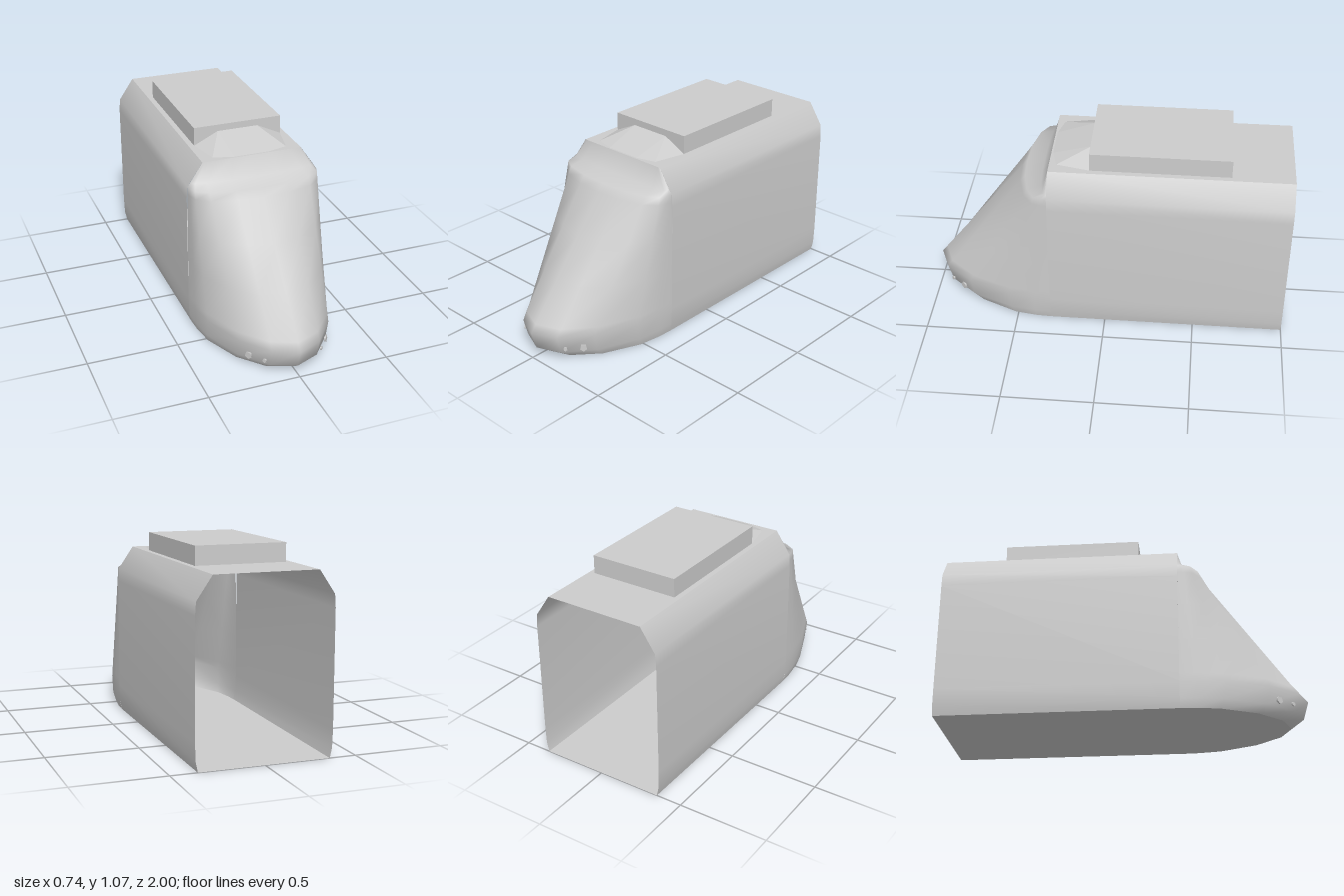
import * as THREE from 'three';
import { toCreasedNormals } from 'three/addons/utils/BufferGeometryUtils.js';
import { ConvexGeometry } from 'three/addons/geometries/ConvexGeometry.js';

const grey = new THREE.MeshStandardMaterial({ color: 0xcccccc, side: THREE.DoubleSide });
grey.name = 'light grey';

const BACK = -1, JOINT = 0.31;

// Skin a grid of points given as rows of [x, y, z]
function skin(rows) {
  const n = rows[0].length, index = [];
  for (let i = 0; i < rows.length - 1; i++) {
    for (let j = 0; j < n - 1; j++) {
      const a = i * n + j, b = a + 1, d = a + n, c = d + 1;
      index.push(a, b, c, a, c, d);
    }
  }
  const g = new THREE.BufferGeometry();
  g.setAttribute('position', new THREE.Float32BufferAttribute(rows.flat(2), 3));
  g.setIndex(index);
  g.computeVertexNormals();
  return g;
}

// Half plan outlines, from side to centre: [width fraction, length fraction]
const pointed = [[1, 0], [0.988, 0.14], [0.935, 0.35], [0.69, 0.69], [0.36, 0.915], [0, 1]];
const blunt = [[1, 0], [0.99, 0.2], [0.95, 0.48], [0.77, 0.75], [0.4, 0.95], [0, 1]];

// Horizontal nose ring, running from -x round the front to +x
function ring(y, halfWidth, front, plan) {
  const half = plan.map(([w, l]) => [w * halfWidth, y, JOINT + l * (front - JOINT)]);
  const left = half.slice(0, -1).reverse();
  return [...half.map(([x, h, z]) => [-x, h, z]), ...left];
}

const mix = (a, b, t) => a.map((p, i) => p.map((v, k) => v + (b[i][k] - v) * t));

export function createModel() {
  const model = new THREE.Group();
  const add = (name, geometry) => {
    const mesh = new THREE.Mesh(geometry, grey);
    mesh.name = name;
    model.add(mesh);
    return mesh;
  };

  // Body shell: open at the back, chamfered along the roof
  const side = [[0.355, 0], [0.367, 0.055], [0.37, 0.15], [0.37, 0.77], [0.365, 0.84], [0.28, 0.965]];
  const section = [...side, ...side.map(([x, y]) => [-x, y]).reverse(), side[0]];
  const body = skin([BACK, JOINT].map(z => section.map(([x, y]) => [x, y, z])));
  add('bodyShell', toCreasedNormals(body, 0.6));

  // Nose: sloping front with a soft chin and shoulder
  const floorRing = ring(0, 0.355, 0.9, pointed);
  const chin = ring(0.15, 0.37, 1, pointed);
  const shoulder = ring(0.84, 0.365, 0.46, blunt);
  const nose = [
    floorRing,
    ring(0.05, 0.367, 0.97, pointed),
    chin,
    ...[0.06, 0.35, 0.65, 0.94].map(t => mix(chin, shoulder, t)),
    shoulder,
    ring(0.862, 0.348, 0.36, blunt),
    ring(0.965, 0.28, JOINT, blunt),
  ];
  add('nose', skin(nose));
  add('noseFloor', skin([floorRing.map(([x, y]) => [x, y, JOINT]), floorRing]));

  // Roof unit with a sloping fairing ahead of it
  add('roofUnit', new THREE.BoxGeometry(0.5, 0.102, 0.755)).position.set(0, 1.016, -0.2875);
  const fairing = [];
  for (const s of [-1, 1]) {
    for (const [x, y, z] of [[0.25, 0.965, 0.09], [0.115, 1.03, 0.09], [0.21, 0.965, 0.27], [0.1, 0.965, 0.3]]) {
      fairing.push(new THREE.Vector3(s * x, y, z));
    }
  }
  add('roofFairing', new ConvexGeometry(fairing));

  // Paired five-sided lamps set in the chin
  for (const s of [-1, 1]) {
    for (const [name, r, x, z] of [['outerLamp', 0.021, 0.22, 0.833], ['innerLamp', 0.012, 0.16, 0.908]]) {
      const disc = new THREE.CylinderGeometry(r, r, 0.009, 5);
      disc.rotateX(Math.PI / 2);
      const lamp = add(name, disc);
      lamp.position.set(s * x, 0.08, z);
      lamp.rotation.y = s * 0.88;
    }
  }
  return model;
}
